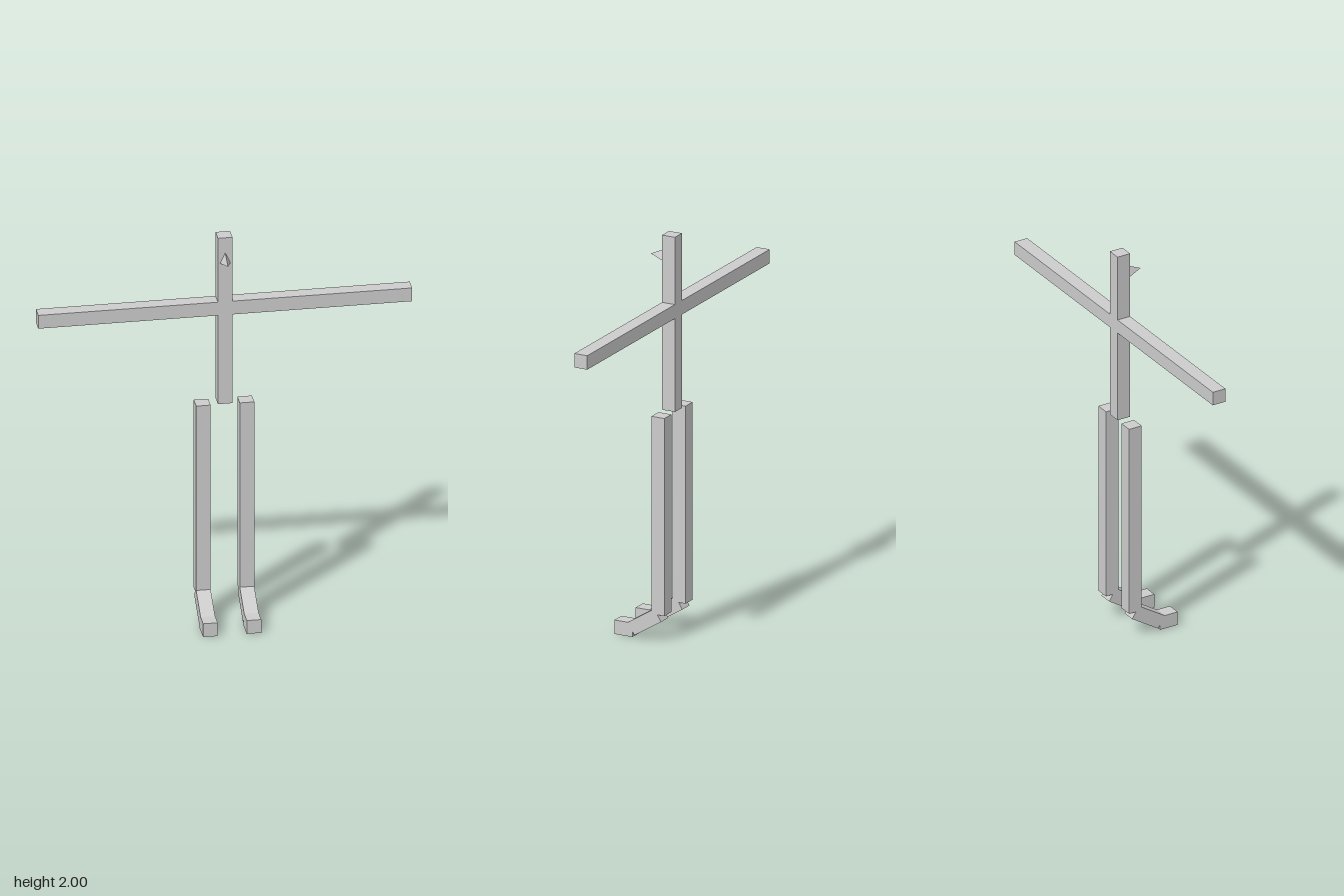
import * as THREE from 'three';

export function createModel() {
  const model = new THREE.Group();
  const grey = new THREE.MeshStandardMaterial({ color: 0xcccccc, flatShading: true });
  grey.name = 'light grey';
  const T = 0.07; // thickness of every bar
  const H = T / 2;
  const BACK = -0.135; // back plane of the body

  function add(parent, name, geometry, x, y, z) {
    const mesh = new THREE.Mesh(geometry, grey);
    mesh.name = name;
    mesh.position.set(x, y, z);
    parent.add(mesh);
    return mesh;
  }

  // Head, torso and outstretched arms as one cross
  const [bottom, armLow, armHigh, top, reach] = [1.125, 1.593, 1.663, 2, 0.9];
  const half = [[H, bottom], [H, armLow], [reach, armLow], [reach, armHigh], [H, armHigh], [H, top]];
  const outline = [...half, ...half.map(([x, y]) => [-x, y]).reverse()];
  const cross = new THREE.Shape(outline.map(([x, y]) => new THREE.Vector2(x, y)));
  const crossGeometry = new THREE.ExtrudeGeometry(cross, { depth: T, bevelEnabled: false });
  add(model, 'bodyAndArms', crossGeometry, 0, 0, BACK);

  // Three-sided pointed nose, one corner up
  const noseGeometry = new THREE.ConeGeometry(0.036, 0.08, 3);
  noseGeometry.rotateY(Math.PI).rotateX(Math.PI / 2).scale(0.8, 1, 1);
  add(model, 'nose', noseGeometry, 0, 1.885, -0.025);

  // Legs with slanted ankles and short feet
  for (const [side, s] of [['left', 1], ['right', -1]]) {
    const leg = new THREE.Group();
    leg.name = side + 'Leg';
    leg.position.x = s * 0.105;
    add(leg, side + 'Shin', new THREE.BoxGeometry(T, 0.99, T), 0, 0.628, BACK + H);
    const ankle = add(leg, side + 'Ankle', new THREE.BoxGeometry(T, T, 0.17), 0, 0.085, -0.027);
    ankle.rotation.x = 0.56;
    add(leg, side + 'Foot', new THREE.BoxGeometry(T, T, 0.097), 0, H, 0.0865);
    model.add(leg);
  }
  return model;
}
